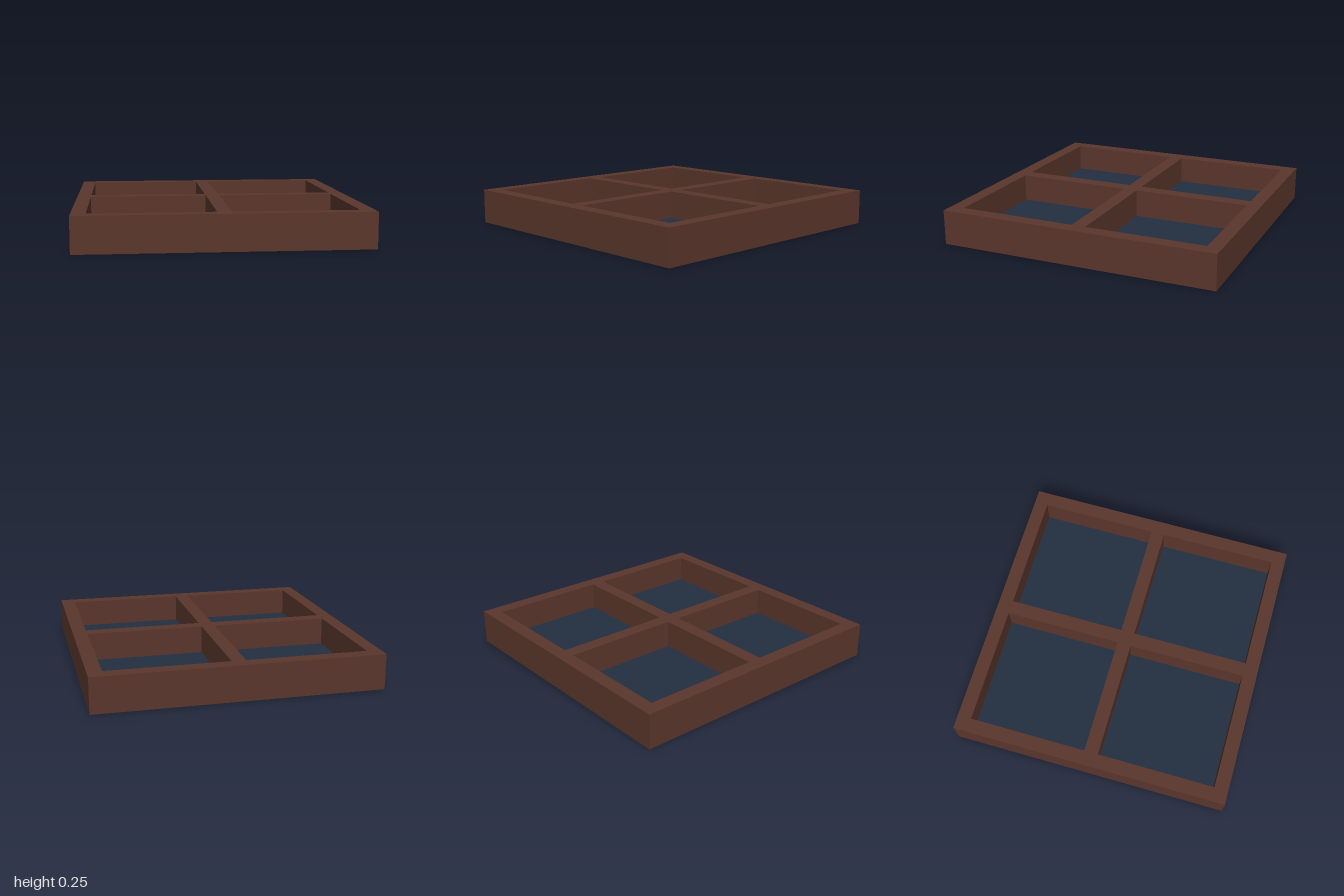
import * as THREE from 'three';

const HEIGHT = 0.25, OUTER = 1, RIM = 0.9, BAR = 0.05;

// Square outline between two corners
function rectangle(Type, x0, y0, x1, y1) {
  const path = new Type();
  path.moveTo(x0, y0);
  path.lineTo(x1, y0);
  path.lineTo(x1, y1);
  path.lineTo(x0, y1);
  path.closePath();
  return path;
}

export function createModel() {
  const model = new THREE.Group();
  model.name = 'windowPanel';
  const wood = new THREE.MeshStandardMaterial({ color: 0x5a362c });
  wood.name = 'dark brown wood';
  const glass = new THREE.MeshStandardMaterial({ color: 0x233040 });
  glass.name = 'dark blue glass';

  const outline = rectangle(THREE.Shape, -OUTER, -OUTER, OUTER, OUTER);
  const size = RIM - BAR, middle = (RIM + BAR) / 2;

  for (const sx of [-1, 1]) {
    for (const sz of [-1, 1]) {
      // Opening in the frame
      const cx = sx * middle, cz = sz * middle, h = size / 2;
      outline.holes.push(rectangle(THREE.Path, cx - h, cz - h, cx + h, cz + h));

      // Pane set just above the underside
      const pane = new THREE.Mesh(new THREE.BoxGeometry(size, 0.025, size), glass);
      pane.name = (sz > 0 ? 'front' : 'back') + (sx > 0 ? 'Left' : 'Right') + 'Pane';
      pane.position.set(cx, 0.0375, cz);
      model.add(pane);
    }
  }

  // Frame with its crossing bars, laid flat
  const geometry = new THREE.ExtrudeGeometry(outline, { depth: HEIGHT, bevelEnabled: false });
  geometry.rotateX(-Math.PI / 2);
  const frame = new THREE.Mesh(geometry, wood);
  frame.name = 'frame';
  model.add(frame);
  return model;
}
